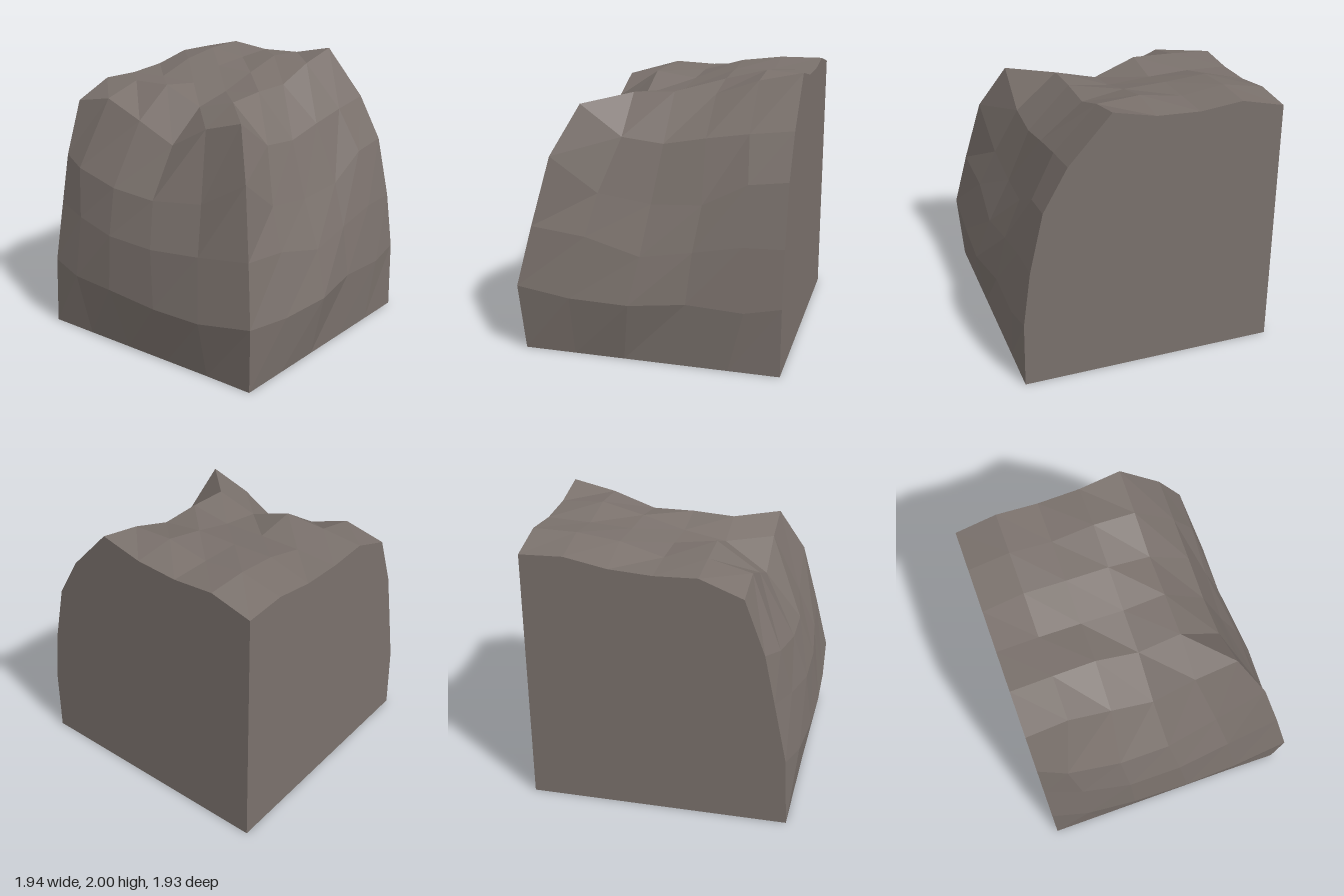
import * as THREE from 'three';

const rock = new THREE.MeshStandardMaterial({ color: 0x7a716c, flatShading: true, side: THREE.DoubleSide });
rock.name = 'warm grey rock';

function meshFrom(name, triangles) {
  const g = new THREE.BufferGeometry();
  g.setAttribute('position', new THREE.Float32BufferAttribute(triangles.flat(2), 3));
  g.computeVertexNormals();
  const m = new THREE.Mesh(g, rock);
  m.name = name;
  return m;
}

// Joins rows of points into a faceted sheet
function sheet(name, rows) {
  const tris = [];
  for (let j = 0; j + 1 < rows.length; j++) {
    for (let i = 0; i + 1 < rows[j].length; i++) {
      const a = rows[j][i], b = rows[j][i + 1], c = rows[j + 1][i + 1], d = rows[j + 1][i];
      tris.push([a, b, c], [a, c, d]);
    }
  }
  return meshFrom(name, tris);
}

// Flat cut face: a fan from the back bottom corner to an outline
function cutWall(name, outline, flip) {
  const corner = [0.97, 0, -0.97], tris = [];
  for (let k = 0; k + 1 < outline.length; k++) {
    tris.push(flip ? [corner, outline[k + 1], outline[k]] : [corner, outline[k], outline[k + 1]]);
  }
  return meshFrom(name, tris);
}

export function createModel() {
  const group = new THREE.Group();
  group.name = 'cliffCorner';

  // Uneven plateau: heights from front to back, each row left to right
  const xs = [-0.56, -0.255, 0.05, 0.355, 0.66, 0.97];
  const zs = [0.56, 0.255, -0.05, -0.36, -0.665, -0.97];
  const heights = [
    [1.76, 1.54, 1.51, 1.57, 1.62, 1.66],
    [1.67, 1.80, 1.82, 1.82, 1.93, 2.00],
    [1.50, 1.72, 1.78, 1.87, 1.95, 1.93],
    [1.63, 1.84, 1.80, 1.88, 1.90, 1.915],
    [1.75, 1.83, 1.81, 1.90, 1.94, 1.945],
    [1.69, 1.81, 1.80, 1.82, 1.88, 1.87],
  ];
  const top = heights.map((row, j) => row.map((y, i) => [xs[i], y, zs[j]]));

  // Front slope, bottom to top, each row left to right
  const front = [
    [-0.895, -0.52, -0.15, 0.22, 0.6, 0.97].map((x) => [x, 0, 0.895]),
    [[-0.935, 0.49, 0.93], [-0.54, 0.44, 0.945], [-0.1, 0.44, 0.965], [0.3, 0.47, 0.91], [0.71, 0.45, 0.91], [0.97, 0.5, 0.89]],
    [[-0.845, 0.92, 0.845], [-0.45, 0.87, 0.83], [-0.04, 0.77, 0.86], [0.33, 0.83, 0.84], [0.68, 0.9, 0.84], [0.97, 0.91, 0.835]],
    [[-0.735, 1.41, 0.735], [-0.39, 1.16, 0.71], [0, 1.11, 0.71], [0.37, 1.14, 0.73], [0.69, 1.31, 0.73], [0.97, 1.35, 0.735]],
    top[0],
  ];

  // Left slope, bottom to top, each row back to front, sharing the ridge
  const left = [
    [-0.97, -0.6, -0.22, 0.15, 0.52].map((z) => [-0.89, 0, z]),
    [[-0.87, 0.5, -0.97], [-0.93, 0.45, -0.7], [-0.965, 0.45, -0.33], [-0.97, 0.42, 0.1], [-0.96, 0.42, 0.5]],
    [[-0.78, 0.94, -0.97], [-0.86, 0.9, -0.7], [-0.92, 0.85, -0.35], [-0.92, 0.84, 0.04], [-0.88, 0.87, 0.44]],
    [[-0.705, 1.3, -0.97], [-0.78, 1.25, -0.77], [-0.82, 1.18, -0.39], [-0.815, 1.16, -0.02], [-0.755, 1.2, 0.37]],
    top.slice(1).map((row) => row[0]).reverse(),
  ].map((row, j) => [...row, front[j][0]]);

  group.add(sheet('plateau', top), sheet('frontSlope', front), sheet('leftSlope', left));

  // Straight cut faces on the right and back
  const rightOutline = [...front.map((row) => row[5]), ...top.slice(1).map((row) => row[5])];
  const backOutline = [...left.map((row) => row[0]), ...top[5].slice(1)];
  group.add(cutWall('rightWall', rightOutline, true), cutWall('backWall', backOutline, false));
  return group;
}
